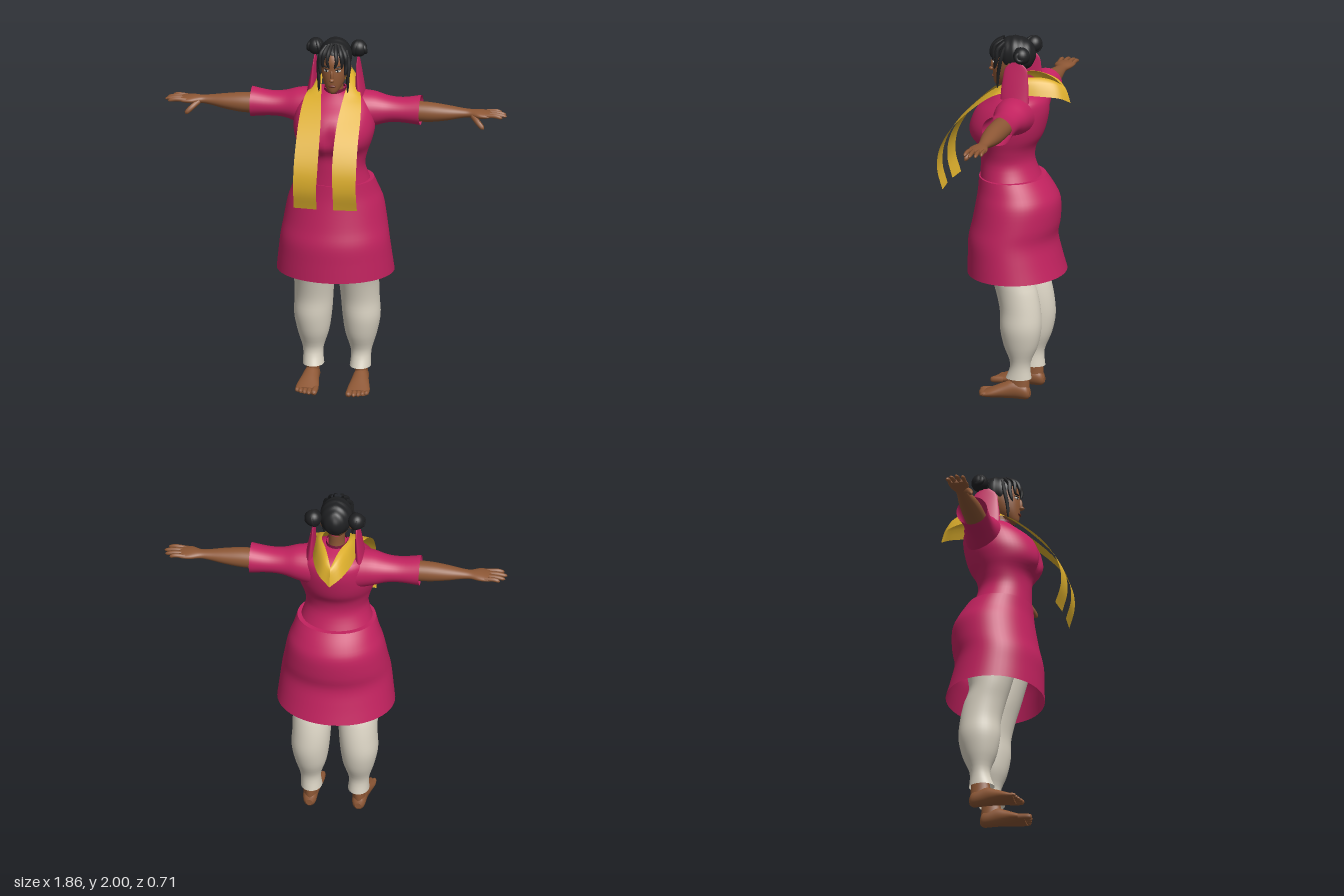
import * as THREE from 'three';

const mat = (name, color, side = THREE.FrontSide) => {
  const m = new THREE.MeshStandardMaterial({ color, side });
  m.name = name;
  return m;
};

// Smooth loft: each section is [t, minA, maxA, minB, maxB] with t rising along the axis.
// Axis y: A = x, B = z. Axis x: A = y, B = z. Axis z: A = x, B = y.
function loft(axis, sections, { bottom = false, top = false, seg = 36, sub = 4 } = {}) {
  const cols = [1, 2, 3, 4].map(c => new THREE.SplineCurve(sections.map(s => new THREE.Vector2(s[0], s[c]))));
  const n = (sections.length - 1) * sub, pos = [], idx = [];
  const put = (t, a, b) => pos.push(...(axis === 'y' ? [a, t, b] : axis === 'x' ? [t, a, b] : [a, b, t]));
  const ring = u => {
    const p = cols.map(c => c.getPoint(u)), [a0, a1, b0, b1] = p.map(q => q.y);
    for (let j = 0; j < seg; j++) {
      const w = j / seg * Math.PI * 2;
      const [ca, cb] = axis === 'y' ? [Math.cos(w), Math.sin(w)] : [Math.sin(w), Math.cos(w)];
      put(p[0].x, (a0 + a1) / 2 + (a1 - a0) / 2 * ca, (b0 + b1) / 2 + (b1 - b0) / 2 * cb);
    }
    return [p[0].x, (a0 + a1) / 2, (b0 + b1) / 2];
  };
  for (let i = 0; i <= n; i++) ring(i / n);
  for (let i = 0; i < n; i++) for (let j = 0; j < seg; j++) {
    const a = i * seg + j, b = i * seg + (j + 1) % seg;
    idx.push(a, a + seg, b, b, a + seg, b + seg);
  }
  for (const end of [0, 1]) {
    if (!(end ? top : bottom)) continue;
    const base = pos.length / 3;
    put(...ring(end));
    for (let j = 0; j < seg; j++) {
      const a = base + j, b = base + (j + 1) % seg, c = base + seg;
      idx.push(...(end ? [a, c, b] : [a, b, c]));
    }
  }
  return finish(pos, idx);
}

function finish(pos, idx) {
  const g = new THREE.BufferGeometry();
  g.setAttribute('position', new THREE.Float32BufferAttribute(pos, 3));
  g.setIndex(idx);
  g.computeVertexNormals();
  return g;
}

// Tube through points whose radius narrows to the end; rounded keeps it full until the tip.
function strand(points, r, rounded = false) {
  const curve = new THREE.CatmullRomCurve3(points.map(p => new THREE.Vector3(...p)));
  const n = 14, m = 9, g = new THREE.TubeGeometry(curve, n, r, m - 1);
  const p = g.attributes.position, v = new THREE.Vector3();
  for (let i = 0; i <= n; i++) {
    const u = i / n, c = curve.getPointAt(u);
    const k = rounded ? Math.sqrt(Math.max(0, 1 - Math.pow(u, 8))) : Math.sqrt(1 - u) * (0.6 + 0.6 * u);
    for (let j = 0; j < m; j++) {
      v.fromBufferAttribute(p, i * m + j).sub(c).multiplyScalar(k).add(c);
      p.setXYZ(i * m + j, v.x, v.y, v.z);
    }
  }
  g.computeVertexNormals();
  return g;
}

const blob = (x, y, z, rx, ry, rz, turnY = 0, turnZ = 0) =>
  new THREE.SphereGeometry(1, 24, 16).scale(rx, ry, rz).rotateZ(turnZ).rotateY(turnY).translate(x, y, z);

function mirrored(g) {
  const m = g.clone().scale(-1, 1, 1), a = m.index.array;
  for (let i = 0; i < a.length; i += 3) [a[i], a[i + 1]] = [a[i + 1], a[i]];
  return m;
}

export function createModel() {
  const model = new THREE.Group();
  model.name = 'figure';
  const dress = mat('magenta cloth', 0xc2225f, THREE.DoubleSide);
  const gold = mat('golden cloth', 0xdcae2c, THREE.DoubleSide);
  const cream = mat('cream leggings', 0xdcd5c5, THREE.DoubleSide);
  const skin = mat('brown skin', 0x8d5735);
  const hair = mat('black hair', 0x1f2022);
  const maroon = mat('maroon trim', 0x74143a, THREE.DoubleSide);
  const white = mat('eye white', 0xd8d4cc);
  const lip = mat('lip', 0x6e3326);

  const add = (name, g, m) => {
    const mesh = new THREE.Mesh(g, m);
    mesh.name = name;
    model.add(mesh);
  };
  const pair = (name, g, m) => {
    add(name + 'Left', g, m);
    add(name + 'Right', mirrored(g), m);
  };
  const sym = rows => rows.map(([y, w, z0, z1]) => [y, -w, w, z0, z1]);

  // Skirt and bodice
  add('skirt', loft('y', sym([
    [0.685, 0.318, -0.318, 0.21], [0.78, 0.307, -0.29, 0.208], [0.88, 0.295, -0.268, 0.205],
    [0.97, 0.28, -0.283, 0.185], [1.08, 0.26, -0.285, 0.165], [1.15, 0.235, -0.255, 0.155],
    [1.22, 0.212, -0.205, 0.15]]), { top: true, seg: 56 }), dress);
  const bodice = loft('y', sym([
    [1.2, 0.198, -0.19, 0.145], [1.3, 0.168, -0.147, 0.143], [1.38, 0.182, -0.152, 0.15],
    [1.45, 0.207, -0.19, 0.202], [1.52, 0.22, -0.212, 0.2], [1.6, 0.21, -0.225, 0.16],
    [1.66, 0.185, -0.215, 0.09], [1.695, 0.13, -0.17, 0.05], [1.715, 0.065, -0.1, 0.025]]), { top: true, seg: 56 });
  const bp = bodice.attributes.position;
  for (let i = 0; i < bp.count; i++) { // soft hollow down the middle of the chest
    const x = bp.getX(i), y = bp.getY(i), z = bp.getZ(i);
    if (z > 0) bp.setZ(i, z - 0.03 * Math.exp(-((x / 0.035) ** 2) - ((y - 1.48) / 0.07) ** 2));
  }
  bodice.computeVertexNormals();
  add('bodice', bodice, dress);
  add('collar', loft('y', sym([[1.695, 0.064, -0.1, 0.034], [1.71, 0.06, -0.098, 0.034], [1.73, 0.056, -0.094, 0.034]])), maroon);

  // Sleeves, arms and hands
  pair('sleeve', loft('x', [
    [0.1, 1.47, 1.70, -0.19, 0.04], [0.2, 1.5, 1.692, -0.18, 0.02], [0.28, 1.525, 1.67, -0.162, 0],
    [0.36, 1.53, 1.665, -0.157, -0.002], [0.46, 1.52, 1.682, -0.165, 0.005]]), dress);
  pair('arm', loft('x', [
    [0.36, 1.54, 1.65, -0.135, -0.02], [0.5, 1.54, 1.648, -0.13, -0.02], [0.6, 1.553, 1.637, -0.122, -0.03],
    [0.68, 1.57, 1.625, -0.112, -0.045], [0.73, 1.577, 1.62, -0.11, -0.048], [0.78, 1.577, 1.62, -0.125, -0.025],
    [0.83, 1.582, 1.613, -0.128, -0.025], [0.85, 1.59, 1.607, -0.12, -0.035]], { top: true }), skin);
  [[-0.115, -0.122, 0.895], [-0.09, -0.096, 0.922], [-0.064, -0.064, 0.93], [-0.039, -0.032, 0.91]].forEach(([z0, z1, x], i) =>
    pair('finger' + i, strand([[0.81, 1.6, z0], [0.87, 1.603, (z0 + z1) / 2], [x, 1.594, z1]], 0.0115, true), skin));
  pair('thumb', strand([[0.745, 1.592, -0.055], [0.775, 1.57, -0.025], [0.812, 1.535, -0.005]], 0.015, true), skin);

  // Leggings and bare feet
  pair('legging', loft('y', [
    [0.115, 0.07, 0.185, -0.17, -0.03], [0.2, 0.075, 0.186, -0.165, -0.055], [0.3, 0.045, 0.215, -0.205, -0.02],
    [0.4, 0.03, 0.234, -0.225, 0], [0.5, 0.022, 0.23, -0.22, 0.003], [0.6, 0.015, 0.23, -0.2, 0.025],
    [0.7, 0.01, 0.235, -0.168, 0.055], [0.85, 0.002, 0.24, -0.2, 0.1]], { top: true }), cream);
  pair('ankle', loft('y', [[0.04, 0.095, 0.17, -0.16, -0.05], [0.09, 0.098, 0.165, -0.16, -0.05], [0.15, 0.1, 0.162, -0.155, -0.06]]), skin);
  pair('foot', loft('z', [
    [-0.165, 0.115, 0.15, 0.015, 0.05], [-0.145, 0.098, 0.167, 0, 0.085], [-0.08, 0.092, 0.175, 0, 0.105],
    [-0.02, 0.086, 0.187, 0, 0.085], [0.04, 0.078, 0.2, 0, 0.058], [0.085, 0.08, 0.2, 0.003, 0.038]],
  { bottom: true, top: true }), skin);
  [[0.094, 0.128, 0.018], [0.122, 0.125, 0.014], [0.146, 0.117, 0.013], [0.168, 0.107, 0.012], [0.188, 0.094, 0.012]].forEach(([x, z, r], i) =>
    pair('toe' + i, strand([[x, 0.024, 0.05], [x, 0.022, 0.09], [x, r, z]], r, true), skin));

  // Neck, head and face
  add('neck', loft('y', sym([[1.67, 0.05, -0.09, 0.015], [1.73, 0.044, -0.082, 0.018], [1.79, 0.045, -0.085, 0.03]])), skin);
  add('head', loft('y', sym([
    [1.72, 0.015, 0.025, 0.066], [1.735, 0.032, -0.01, 0.076], [1.775, 0.055, -0.06, 0.081], [1.82, 0.069, -0.1, 0.083],
    [1.86, 0.075, -0.12, 0.08], [1.9, 0.077, -0.13, 0.078], [1.94, 0.07, -0.12, 0.058], [1.975, 0.04, -0.08, 0.01]]),
  { bottom: true, top: true }), skin);
  add('noseBridge', blob(0, 1.827, 0.084, 0.009, 0.032, 0.012), skin);
  add('noseTip', blob(0, 1.805, 0.09, 0.014, 0.011, 0.016), skin);
  add('lips', blob(0, 1.768, 0.08, 0.021, 0.008, 0.008), lip);
  pair('ear', blob(0.078, 1.84, -0.035, 0.01, 0.027, 0.018), skin);
  pair('eye', blob(0.033, 1.854, 0.071, 0.015, 0.007, 0.005, 0.5), white);
  pair('iris', blob(0.031, 1.854, 0.074, 0.006, 0.0065, 0.004, 0.5), hair);
  pair('upperLash', blob(0.033, 1.861, 0.072, 0.017, 0.0025, 0.006, 0.5, 0.08), hair);
  pair('brow', blob(0.035, 1.876, 0.071, 0.02, 0.004, 0.006, 0.5, 0.15), hair);

  // Hair: rippled cap, fringe, side locks and coiled buns
  const cap = new THREE.SphereGeometry(1, 48, 40), cp = cap.attributes.position;
  for (let i = 0; i < cp.count; i++) {
    const x = cp.getX(i), y = cp.getY(i), z = cp.getZ(i);
    const k = 1 + 0.02 * Math.sin(z * 16 + 3 * Math.abs(x));
    cp.setXYZ(i, x * 0.088 * k, 1.9 + y * 0.098 * k, -0.045 + z * 0.112 * k);
  }
  cap.computeVertexNormals();
  add('hairCap', cap, hair);
  pair('innerFringe', strand([[0.01, 1.985, 0.02], [0.02, 1.95, 0.07], [0.026, 1.91, 0.086], [0.012, 1.868, 0.088]], 0.017), hair);
  pair('midFringe', strand([[0.025, 1.98, 0.015], [0.045, 1.945, 0.058], [0.053, 1.9, 0.066], [0.05, 1.865, 0.068]], 0.019), hair);
  pair('outerFringe', strand([[0.04, 1.97, 0.005], [0.068, 1.93, 0.038], [0.073, 1.88, 0.042], [0.066, 1.82, 0.057]], 0.02), hair);
  pair('sideLock', strand([[0.065, 1.95, 0], [0.083, 1.88, 0.015], [0.079, 1.8, 0.03], [0.078, 1.715, 0.035]], 0.016), hair);
  pair('bun', blob(0.117, 1.925, -0.112, 0.045, 0.047, 0.045), hair);
  for (let i = 0; i < 3; i++) pair('bunCoil' + i, new THREE.TorusGeometry(0.035 - 0.008 * i, 0.014, 10, 28)
    .rotateY(Math.PI / 2 + (i - 1) * 0.35).rotateZ(0.25 * (i - 1)).translate(0.107 + 0.019 * i, 1.925, -0.112), hair);

  // Cloth tails that hang from the buns
  pair('bunRibbon', loft('y', [
    [1.65, 0.105, 0.165, -0.16, 0], [1.7, 0.106, 0.155, -0.157, 0.002], [1.78, 0.108, 0.14, -0.152, -0.008],
    [1.85, 0.111, 0.126, -0.143, -0.022], [1.885, 0.114, 0.12, -0.105, -0.06]], { top: true }), dress);

  // Scarf: each half runs from the front tip, over the shoulder, to the back point
  const inner = [[0.045, 1.15, 0.325], [0.045, 1.26, 0.353], [0.04, 1.37, 0.342], [0.04, 1.5, 0.275], [0.047, 1.62, 0.165],
    [0.06, 1.7, 0.07], [0.07, 1.755, -0.02], [0.07, 1.785, -0.11], [0.045, 1.79, -0.18], [0.02, 1.775, -0.25], [0, 1.745, -0.305]];
  const outer = [[0.172, 1.15, 0.315], [0.17, 1.26, 0.345], [0.17, 1.37, 0.335], [0.168, 1.5, 0.265], [0.165, 1.62, 0.145],
    [0.152, 1.695, 0.04], [0.132, 1.715, -0.04], [0.118, 1.705, -0.13], [0.1, 1.7, -0.22], [0.06, 1.685, -0.31], [0, 1.648, -0.352]];
  const [ci, co] = [inner, outer].map(l => new THREE.CatmullRomCurve3(l.map(p => new THREE.Vector3(...p))));
  const pos = [], idx = [], N = 50, M = 6;
  for (let i = 0; i <= N; i++) for (let j = 0; j <= M; j++) {
    const p = ci.getPoint(i / N).lerp(co.getPoint(i / N), j / M);
    p.y += i / N > 0.5 ? 0.025 * Math.sin(j / M * Math.PI) * Math.min(1, (i / N - 0.5) * 6) : 0;
    pos.push(p.x, p.y, p.z);
    if (i < N && j < M) {
      const a = i * (M + 1) + j, b = a + M + 1;
      idx.push(a, a + 1, b, a + 1, b + 1, b);
    }
  }
  pair('scarf', finish(pos, idx), gold);
  return model;
}
